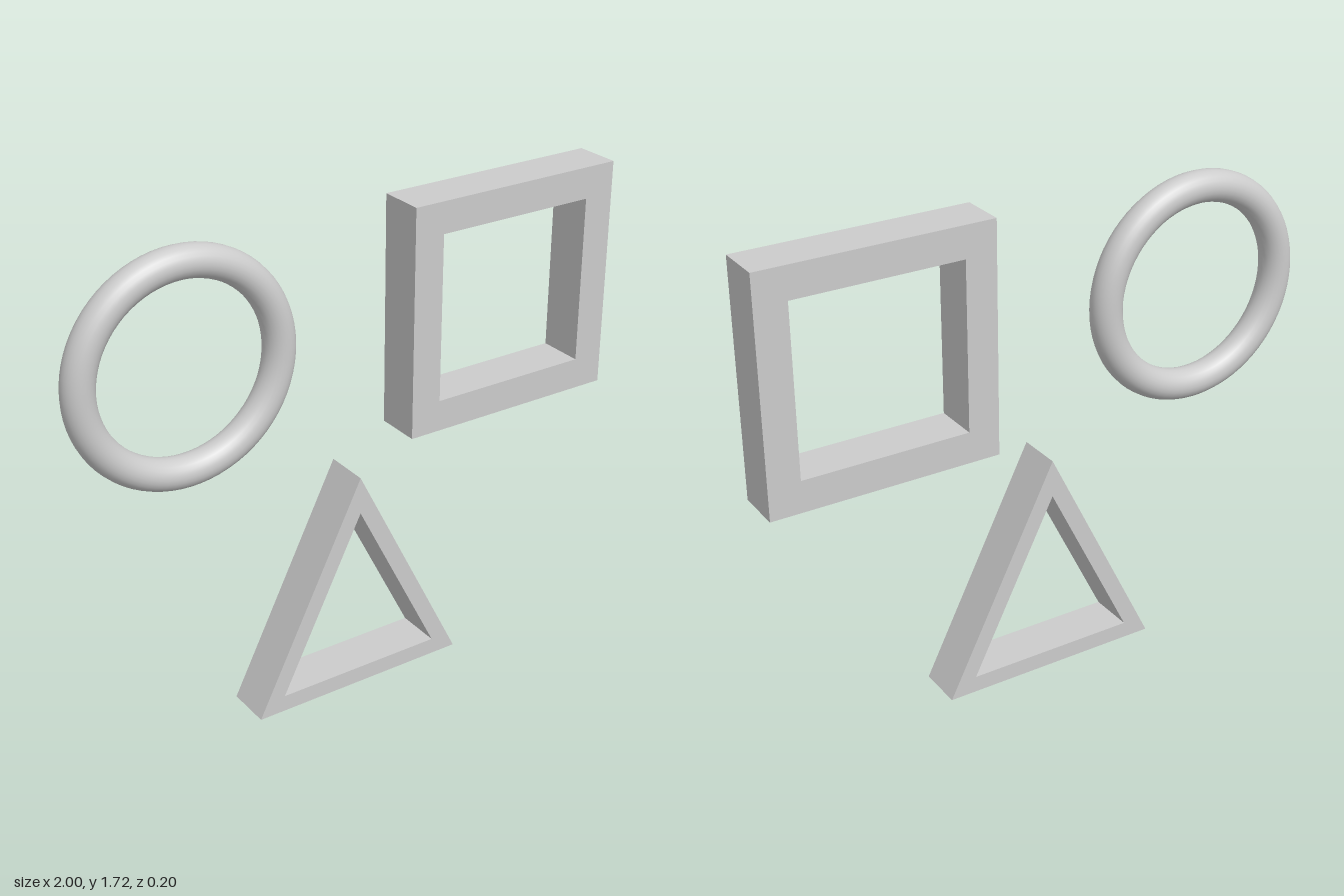
import * as THREE from 'three';

const BACK = -0.066, DEPTH = 0.164;

// Closed polygon path from corner points
function trace(path, points) {
  return path.setFromPoints(points.map(([x, y]) => new THREE.Vector2(x, y))).closePath();
}

// Flat frame: an outline with a hole, given a thickness along z
function frame(name, outer, inner, material) {
  const shape = trace(new THREE.Shape(), outer);
  shape.holes.push(trace(new THREE.Path(), inner));
  const geometry = new THREE.ExtrudeGeometry(shape, { depth: DEPTH, bevelEnabled: false });
  geometry.translate(0, 0, BACK);
  const mesh = new THREE.Mesh(geometry, material);
  mesh.name = name;
  return mesh;
}

// Corners of an axis-aligned square
function square(cx, cy, half) {
  return [[-1, -1], [1, -1], [1, 1], [-1, 1]].map(([x, y]) => [cx + x * half, cy + y * half]);
}

export function createModel() {
  const group = new THREE.Group();
  group.name = 'shapeFrames';
  const material = new THREE.MeshStandardMaterial({ color: 0xcccccc });

  // Round ring, set slightly behind the frames
  const ring = new THREE.Mesh(new THREE.TorusGeometry(0.352, 0.055, 24, 72), material);
  ring.name = 'circleRing';
  ring.position.set(-0.593, 1.308, -0.044);
  group.add(ring);

  // Square frame
  group.add(frame('squareFrame', square(0.592, 1.308, 0.407), square(0.592, 1.308, 0.296), material));

  // Triangular frame
  group.add(frame('triangleFrame',
    [[-0.43, 0], [0.386, 0], [-0.022, 0.815]],
    [[-0.333, 0.06], [0.289, 0.06], [-0.022, 0.681]], material));

  return group;
}
